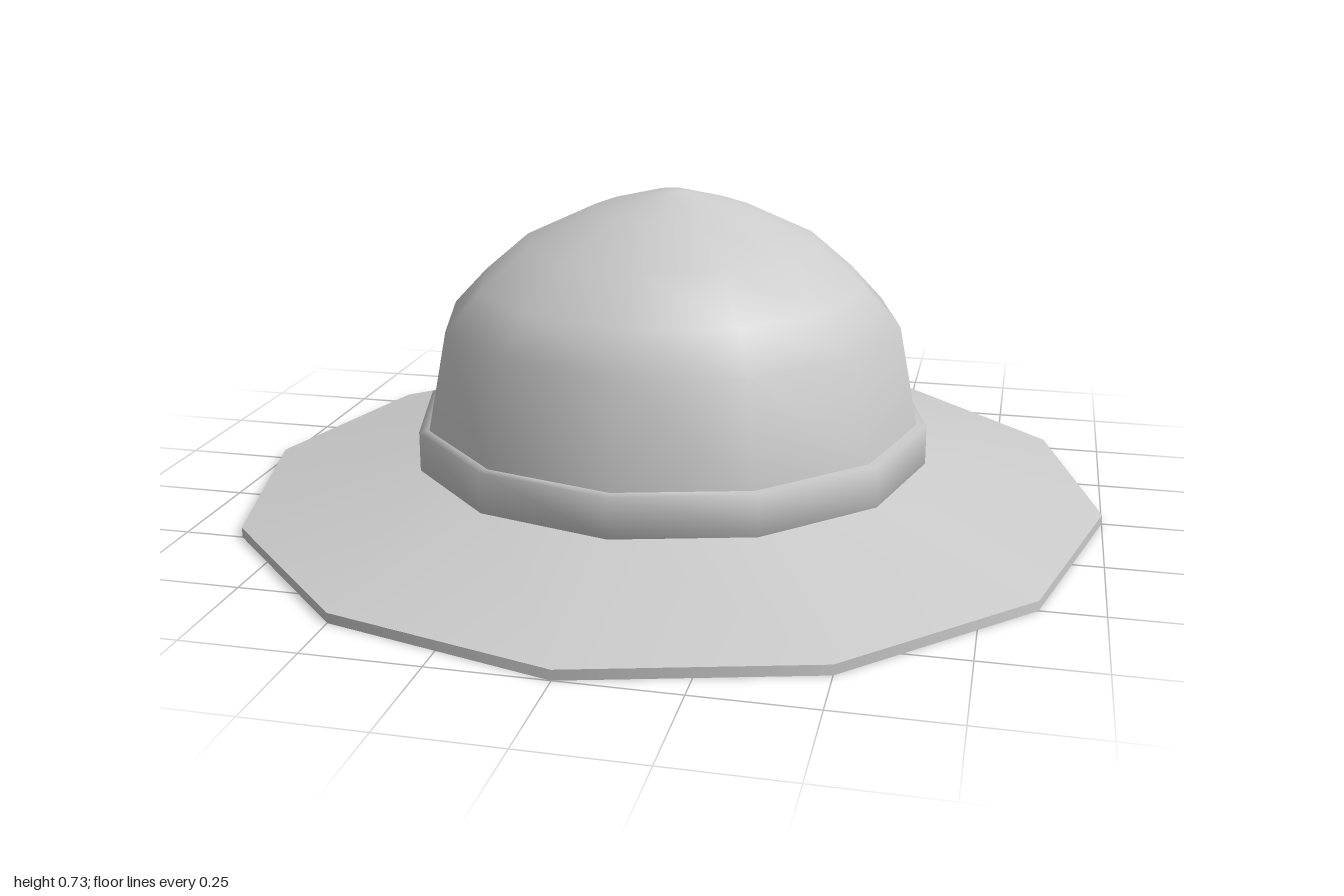
import * as THREE from 'three';

const SIDES = 12;
const material = new THREE.MeshStandardMaterial({ color: 0xcccccc, side: THREE.DoubleSide });

// Smooth twelve-sided turned part from [radius, height] pairs, outside listed bottom to top
function turned(name, profile) {
  const points = profile.map(([r, y]) => new THREE.Vector2(r, y));
  const mesh = new THREE.Mesh(new THREE.LatheGeometry(points, SIDES), material);
  mesh.name = name;
  return mesh;
}

export function createModel() {
  const hat = new THREE.Group();
  hat.name = 'hat';

  // Wide sloping brim with a thin upright rim
  hat.add(turned('brimTop', [[1, 0.022], [0.57, 0.12]]));
  hat.add(turned('brimRim', [[1, 0], [1, 0.022]]));

  // Domed crown
  hat.add(turned('crown', [
    [0.58, 0.11], [0.575, 0.205], [0.53, 0.435], [0.45, 0.52],
    [0.345, 0.61], [0.18, 0.688], [0.035, 0.727], [0, 0.727],
  ]));

  // Hollow inside, running from the top of the crown down and out under the brim
  hat.add(turned('lining', [
    [0, 0.667], [0.03, 0.667], [0.155, 0.632], [0.31, 0.56], [0.405, 0.48],
    [0.475, 0.405], [0.515, 0.205], [0.52, 0.088], [1, 0],
  ]));

  // Rounded band around the foot of the crown
  hat.add(turned('band', [[0.565, 0.113], [0.598, 0.113], [0.598, 0.205], [0.565, 0.207]]));

  return hat;
}
